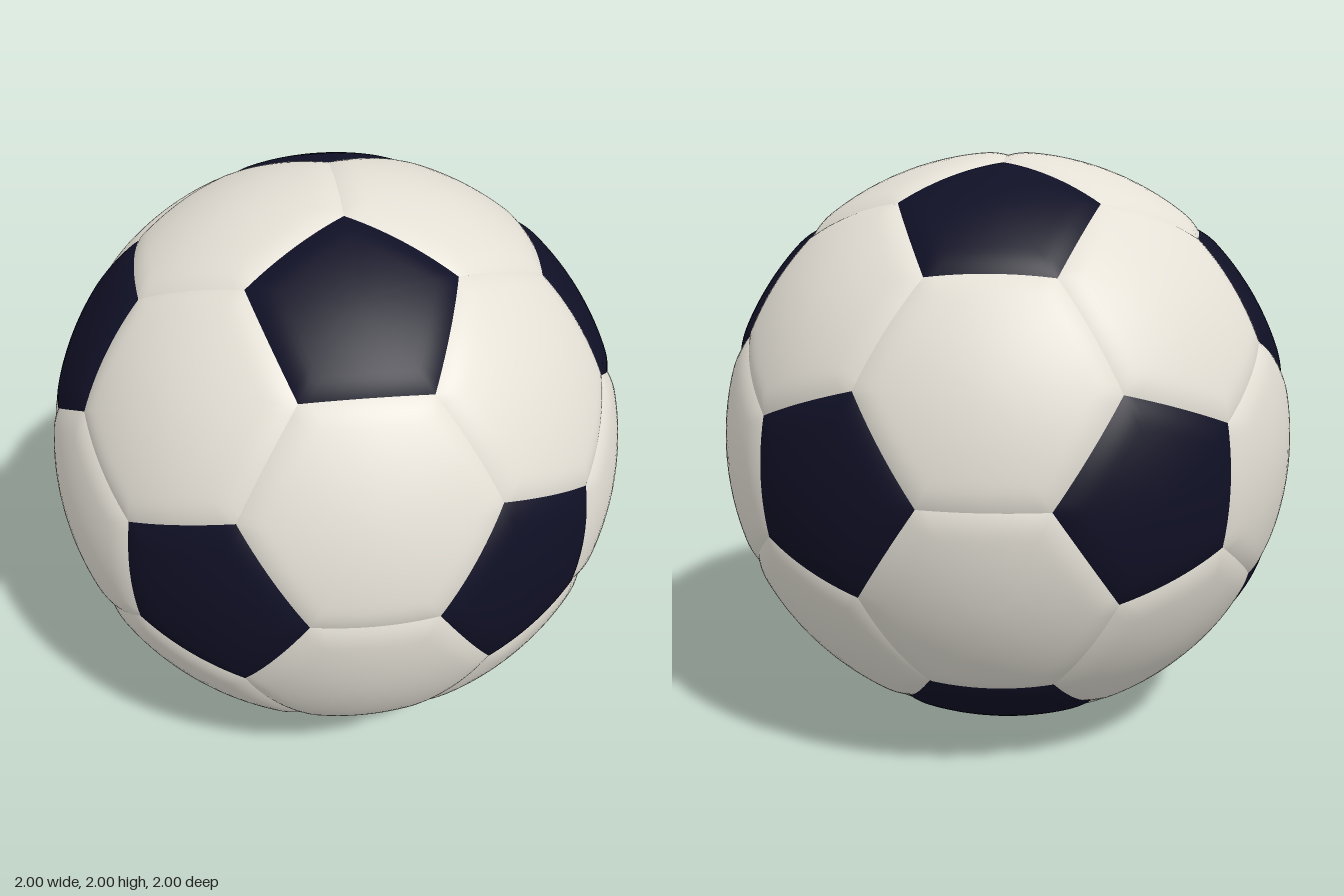
import * as THREE from 'three';

const RADIUS = 1.002;      // crown of the panels
const SEAM_DEPTH = 0.012;  // how far panel borders sink
const SEAM_WIDTH = 0.07;
const SIDE_STEPS = 12, RINGS = 14;

const white = new THREE.MeshStandardMaterial({ color: 0xe4e0d6 });
white.name = 'warm white leather';
const navy = new THREE.MeshStandardMaterial({ color: 0x101026 });
navy.name = 'dark navy leather';

// Twelve icosahedron points: the pentagon centres
function icosahedronPoints() {
  const a = 0.5257, b = 0.8507, points = [];
  for (const s of [1, -1]) for (const t of [1, -1]) {
    points.push(
      new THREE.Vector3(0, s * b, t * a),
      new THREE.Vector3(s * a, 0, t * b),
      new THREE.Vector3(s * b, t * a, 0));
  }
  return points;
}

// Sort corners counter-clockwise as seen from outside
function sortAround(corners, centre) {
  const n = centre.clone().normalize();
  const u = corners[0].clone().sub(centre).normalize();
  const v = new THREE.Vector3().crossVectors(n, u);
  const angle = (p) => {
    const d = p.clone().sub(centre);
    return Math.atan2(d.dot(v), d.dot(u));
  };
  return corners.map((p) => [angle(p), p]).sort((p, q) => p[0] - q[0]).map((e) => e[1]);
}

// One padded panel: concentric rings on the sphere, dipping at the border
function panelGeometry(unsorted) {
  const centre = new THREE.Vector3();
  unsorted.forEach((p) => centre.addScaledVector(p, 1 / unsorted.length));
  const corners = sortAround(unsorted, centre);
  const apothem = corners[0].clone().add(corners[1]).multiplyScalar(0.5).distanceTo(centre);
  const around = corners.length * SIDE_STEPS;
  const positions = [], index = [];
  const add = (p, distance) => {
    const dip = Math.max(0, 1 - distance / SEAM_WIDTH) ** 2;
    positions.push(...p.normalize().multiplyScalar(RADIUS - SEAM_DEPTH * dip).toArray());
  };

  add(centre.clone(), apothem);
  for (let r = 1; r <= RINGS; r++) {
    const t = 1 - (1 - r / RINGS) ** 2; // denser towards the seam
    for (let k = 0; k < around; k++) {
      const side = Math.floor(k / SIDE_STEPS);
      const edge = corners[side].clone().lerp(
        corners[(side + 1) % corners.length], (k % SIDE_STEPS) / SIDE_STEPS);
      add(centre.clone().lerp(edge, t), (1 - t) * apothem);
    }
  }
  for (let k = 0; k < around; k++) {
    const next = (k + 1) % around;
    index.push(0, 1 + k, 1 + next);
    for (let r = 1; r < RINGS; r++) {
      const inner = 1 + (r - 1) * around, outer = inner + around;
      index.push(inner + k, outer + k, outer + next, inner + k, outer + next, inner + next);
    }
  }
  const geometry = new THREE.BufferGeometry();
  geometry.setAttribute('position', new THREE.Float32BufferAttribute(positions, 3));
  geometry.setIndex(index);
  geometry.computeVertexNormals();
  return geometry;
}

export function createModel() {
  const ball = new THREE.Group();
  ball.name = 'ball';
  const points = icosahedronPoints();
  const near = (i, j) => i !== j && points[i].distanceTo(points[j]) < 1.2;
  const third = (i, j) => points[i].clone().lerp(points[j], 1 / 3);

  const addPanel = (name, corners, material) => {
    const mesh = new THREE.Mesh(panelGeometry(corners), material);
    mesh.name = name;
    mesh.position.y = 1;
    ball.add(mesh);
  };

  for (let i = 0; i < 12; i++) {
    // Dark pentagon around each point
    const ring = points.map((_, j) => j).filter((j) => near(i, j));
    addPanel('pentagonPanel', ring.map((j) => third(i, j)), navy);

    // White hexagon inside each triangle of neighbouring points
    for (let j = i + 1; j < 12; j++) for (let k = j + 1; k < 12; k++) {
      if (!near(i, j) || !near(j, k) || !near(i, k)) continue;
      addPanel('hexagonPanel', [
        third(i, j), third(j, i), third(j, k), third(k, j), third(k, i), third(i, k)], white);
    }
  }
  return ball;
}
